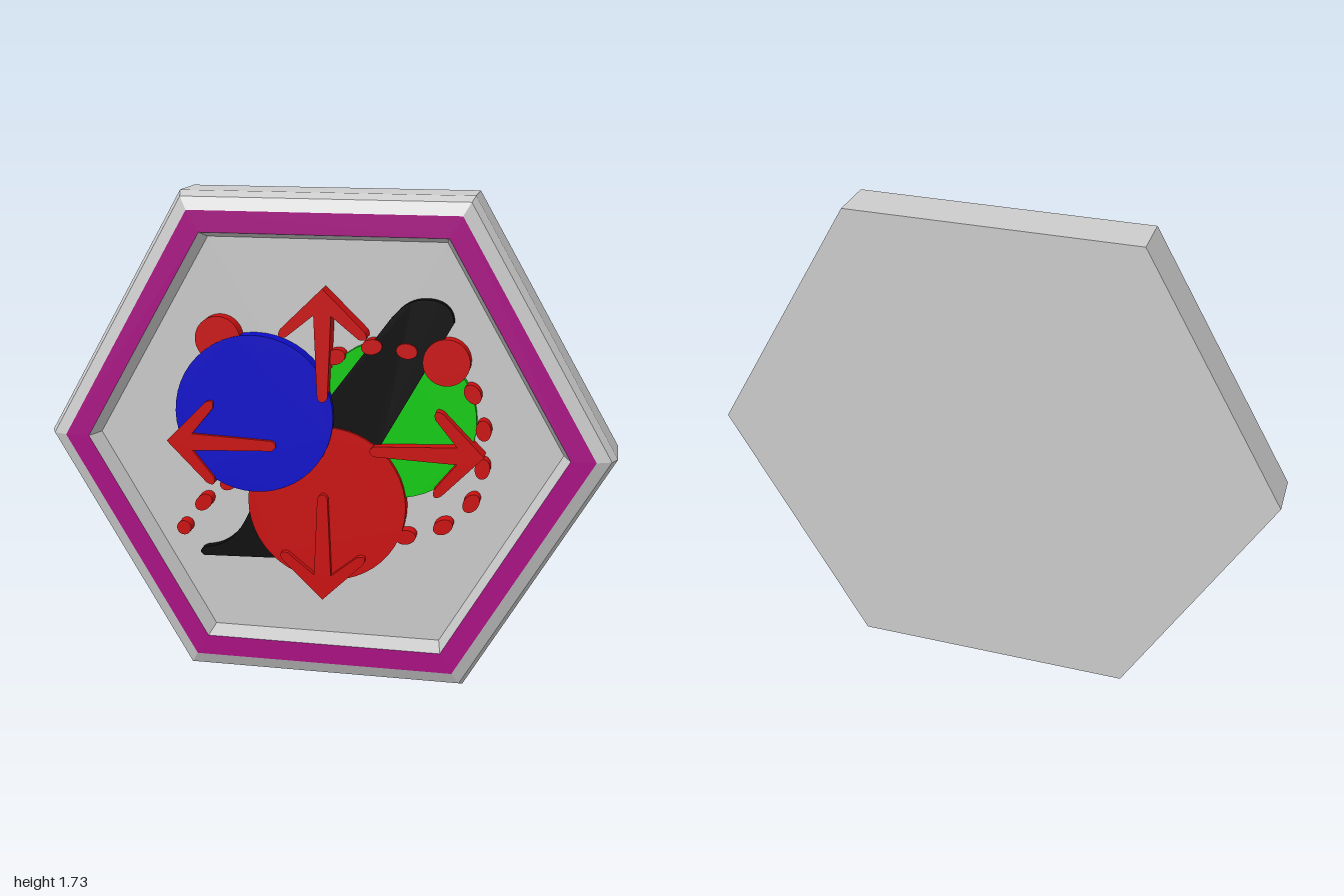
import * as THREE from 'three';

const CY = 0.866;    // height of the plaque centre
const FLOOR = 0.045; // z of the recessed floor
const FACE = 0.113;  // z of the front rim

const COLORS = { grey: 0xcccccc, purple: 0xaa1084, red: 0xcc1010, blue: 0x0d0dcc, green: 0x10cc10, black: 0x0c0c0c };

const material = (name, flat = false, side = THREE.FrontSide) =>
  new THREE.MeshStandardMaterial({ color: COLORS[name], flatShading: flat, side });

// Six-sided turned profile; pairs are [corner radius, z]
function hexTurned(name, color, profile) {
  const geo = new THREE.LatheGeometry(profile.map(([r, z]) => new THREE.Vector2(r, z)), 6, Math.PI / 2);
  geo.rotateX(Math.PI / 2);
  const mesh = new THREE.Mesh(geo, material(color, true));
  mesh.name = name;
  mesh.position.y = CY;
  return mesh;
}

// Flat shape raised from the recessed floor up to z = top
function raised(name, color, shape, top) {
  const geo = new THREE.ExtrudeGeometry(shape, { depth: top - FLOOR + 0.005, bevelEnabled: false, curveSegments: 24 });
  const mesh = new THREE.Mesh(geo, material(color));
  mesh.name = name;
  mesh.position.z = FLOOR - 0.005;
  return mesh;
}

function oval(rx, ry = rx) {
  const s = new THREE.Shape();
  s.absellipse(0, 0, rx, ry, 0, Math.PI * 2);
  return s;
}

function disc(name, color, x, y, r, top) {
  const mesh = raised(name, color, oval(r), top);
  mesh.position.x = x;
  mesh.position.y = y;
  return mesh;
}

// Upward arrow with a tapering shaft and rounded barbs, drawn about the plaque centre
function arrowShape() {
  const s = new THREE.Shape();
  s.moveTo(0, 0.557);
  s.lineTo(-0.145, 0.415);
  s.quadraticCurveTo(-0.165, 0.38, -0.125, 0.388);
  s.lineTo(-0.03, 0.465);
  s.lineTo(-0.018, 0.18);
  s.quadraticCurveTo(0, 0.15, 0.018, 0.18);
  s.lineTo(0.03, 0.465);
  s.lineTo(0.125, 0.388);
  s.quadraticCurveTo(0.165, 0.38, 0.145, 0.415);
  s.closePath();
  return s;
}

// Slanted lever with a rounded top and a flared foot
function leverShape() {
  const s = new THREE.Shape();
  s.moveTo(-0.44, 0.432);
  s.lineTo(-0.1, 0.442);
  s.lineTo(0.1, 0.6);
  s.lineTo(0.2, 0.88);
  s.lineTo(0.44, 1.31);
  s.bezierCurveTo(0.44, 1.37, 0.39, 1.39, 0.34, 1.388);
  s.bezierCurveTo(0.29, 1.385, 0.26, 1.36, 0.22, 1.31);
  s.lineTo(0.02, 1.04);
  s.lineTo(-0.2, 0.8);
  s.bezierCurveTo(-0.27, 0.6, -0.3, 0.48, -0.43, 0.465);
  s.quadraticCurveTo(-0.47, 0.45, -0.44, 0.432);
  return s;
}

export function createModel() {
  const model = new THREE.Group();
  model.name = 'hexagonalPlaque';

  // Chamfered hexagonal body and recessed floor
  model.add(hexTurned('body', 'grey', [[0, -FACE], [1, -FACE], [1, 0.055], [0.98, 0.093], [0.93, FACE]]));
  model.add(hexTurned('rimBand', 'purple', [[0.93, FACE], [0.845, FACE]]));
  model.add(hexTurned('recess', 'grey', [[0.845, FACE], [0.82, FLOOR], [0, FLOOR]]));

  // Lever and large discs, stacked by height
  model.add(raised('lever', 'black', leverShape(), 0.08));
  model.add(disc('greenDisc', 'green', 0.245, 0.97, 0.28, 0.072));
  model.add(disc('redDisc', 'red', 0.01, 0.655, 0.28, 0.092));
  model.add(disc('blueDisc', 'blue', -0.245, 0.97, 0.28, 0.1));

  // Two small knobs
  model.add(disc('leftKnob', 'red', 0.42, 1.18, 0.08, 0.095));
  model.add(disc('rightKnob', 'red', -0.37, 1.23, 0.08, 0.095));

  // Dotted trail: x, y, heading in degrees
  const trail = [
    [-0.51, 0.535, 40, 0.026], [-0.435, 0.635, 45], [-0.34, 0.715, 35],
    [0.04, 1.183, 20], [0.165, 1.223, 10], [0.285, 1.213, -8],
    [0.51, 1.075, -55], [0.55, 0.95, -82], [0.55, 0.815, 85],
    [0.515, 0.69, 55], [0.42, 0.598, 28], [0.29, 0.552, 10],
  ];
  for (const [x, y, heading, r = 0.036] of trail) {
    const dot = raised('trailDot', 'red', oval(r, 0.026), 0.09);
    dot.position.x = x;
    dot.position.y = y;
    dot.rotation.z = THREE.MathUtils.degToRad(heading);
    model.add(dot);
  }

  // Four arrows pointing outward
  ['up', 'right', 'down', 'left'].forEach((dir, i) => {
    const arrow = raised(dir + 'Arrow', 'red', arrowShape(), FACE);
    arrow.position.y = CY - 0.003;
    arrow.rotation.z = i * Math.PI / 2;
    model.add(arrow);
  });

  return model;
}
